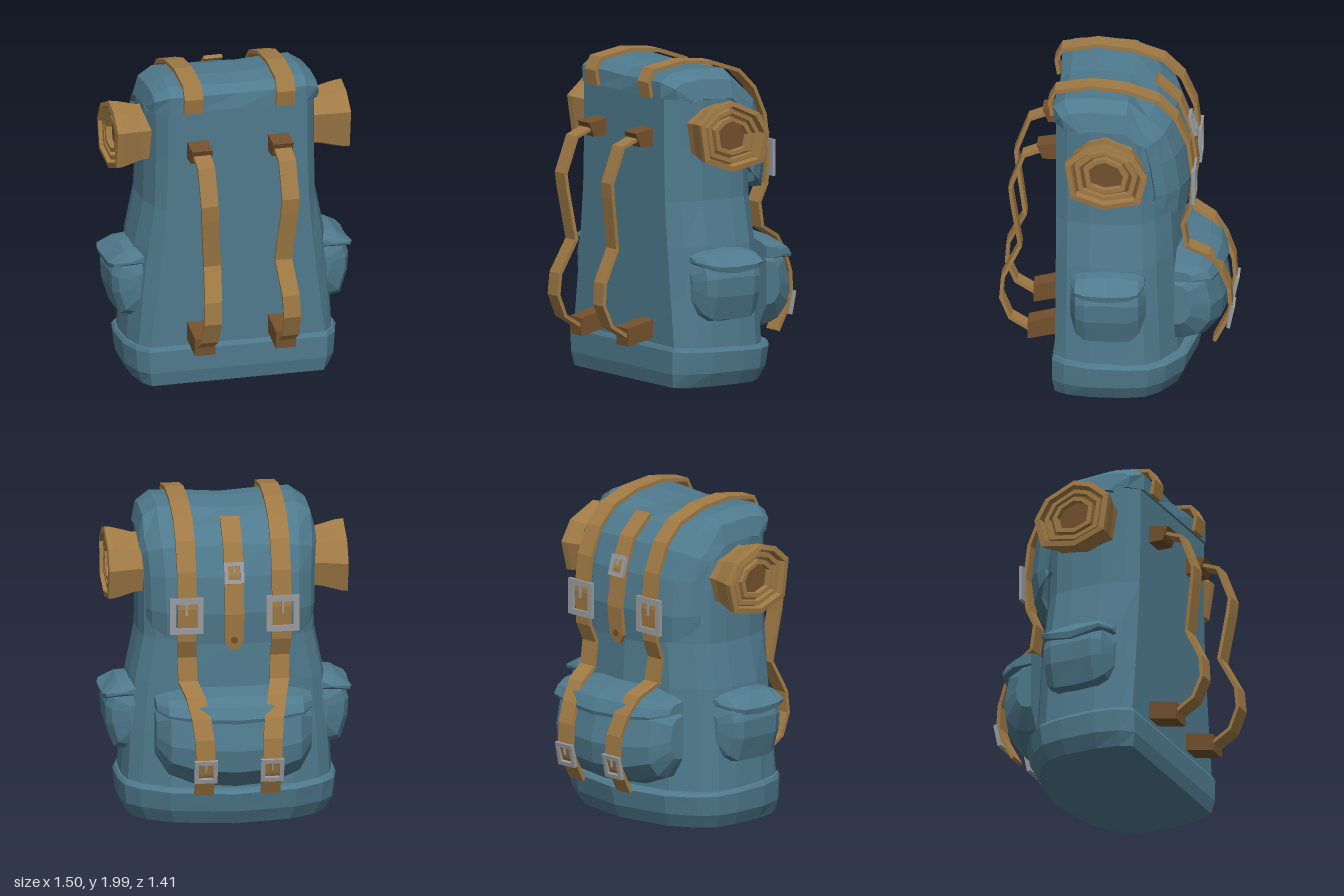
import * as THREE from 'three';

const mat = (name, color) => Object.assign(new THREE.MeshStandardMaterial({ color }), { name });

// Flat-shaded skin over rows of [x, y, z]; closed rows form tubes, caps fill the ends.
function skin(rows, { closed = true, caps = true } = {}) {
  const tris = [], n = rows[0].length;
  for (let i = 0; i < rows.length - 1; i++) {
    for (let j = 0; j < (closed ? n : n - 1); j++) {
      const k = (j + 1) % n, a = rows[i], b = rows[i + 1];
      tris.push([a[j], a[k], b[k]], [a[j], b[k], b[j]]);
    }
  }
  const mean = (pts) => [0, 1, 2].map((c) => pts.reduce((t, p) => t + p[c], 0) / pts.length);
  if (closed && caps) {
    const first = rows[0], last = rows[rows.length - 1], m0 = mean(first), m1 = mean(last);
    for (let j = 0; j < n; j++) {
      const k = (j + 1) % n;
      tris.push([first[k], first[j], m0], [last[j], last[k], m1]);
    }
  }
  // Turn all faces outward
  const mid = new THREE.Vector3(...mean(rows.flat()));
  let volume = 0;
  for (const t of tris) {
    const [a, b, c] = t.map((p) => new THREE.Vector3(...p).sub(mid));
    volume += a.dot(b.cross(c));
  }
  if (volume < 0) tris.forEach((t) => t.reverse());
  const geo = new THREE.BufferGeometry();
  geo.setAttribute('position', new THREE.Float32BufferAttribute(tris.flat(2), 3));
  geo.computeVertexNormals();
  return geo;
}

// D-shaped slice: flat front, rounded back, optionally sloping down to the back
function slice([y, wFront, w, zFront, zBack, slope = 0]) {
  const half = [[wFront, zFront], [wFront + 0.6 * (w - wFront), zFront * 0.8], [w, zFront * 0.4],
    [w, zBack * 0.15], [w * 0.96, zBack * 0.44], [w * 0.84, zBack * 0.64], [w * 0.58, zBack * 0.86]];
  return [...half, [0, zBack], ...half.map(([x, z]) => [-x, z]).reverse()]
    .map(([x, z]) => [x, y + (z - zFront) * slope, z]);
}

// Flat band following [x, y, z, widthScale] points, bending about the x axis
function band(path, width, thick = 0.023) {
  return skin(path.map((p, i) => {
    const a = path[Math.max(i - 1, 0)], b = path[Math.min(i + 1, path.length - 1)];
    const len = Math.hypot(b[1] - a[1], b[2] - a[2]);
    const ny = (-(b[2] - a[2]) / len) * thick / 2, nz = ((b[1] - a[1]) / len) * thick / 2;
    const h = (width / 2) * (p[3] ?? 1);
    return [[-h, 1], [h, 1], [h, -1], [-h, -1]].map(([dx, s]) => [p[0] + dx, p[1] + ny * s, p[2] + nz * s]);
  }));
}

// Bulging panel: a [depth, height] profile swept over columns of [u, depth scale, height scale]
function bulge(profile, columns, pivot, place) {
  return skin([-3, -2, -1, 0, 1, 2, 3].map((i) => {
    const [u, deep, tall] = columns[Math.abs(i)];
    return profile.map(([d, h]) => place(Math.sign(i) * u, pivot + (h - pivot) * tall, d * deep));
  }));
}

export function createModel() {
  const model = new THREE.Group();
  const blue = mat('blue canvas', 0x4f7a8d);
  blue.side = THREE.DoubleSide;
  const tan = mat('tan strap', 0xa07a45);
  const brown = mat('brown leather', 0x73502d);
  const metal = mat('grey metal', 0x989b9e);
  const add = (name, geo, material) => {
    const mesh = new THREE.Mesh(geo, material);
    mesh.name = name;
    model.add(mesh);
    return mesh;
  };

  // Main bag and padded base
  add('body', skin([
    [0.25, 0.545, 0.635, 0.35, -0.44], [0.6, 0.5, 0.615, 0.35, -0.415], [0.9, 0.465, 0.585, 0.35, -0.4],
    [1.17, 0.44, 0.53, 0.35, -0.385], [1.5, 0.43, 0.527, 0.35, -0.37], [1.8, 0.43, 0.527, 0.35, -0.27],
  ].map(slice)), blue);
  add('base', skin([
    [0.005, 0.3, 0.34, 0.14, -0.22], [0.055, 0.53, 0.6, 0.35, -0.43], [0.14, 0.545, 0.645, 0.368, -0.475],
    [0.275, 0.55, 0.658, 0.368, -0.5, 0.025], [0.3, 0.55, 0.645, 0.355, -0.48, 0.035],
    [0.305, 0.52, 0.61, 0.33, -0.4, 0.035],
  ].map(slice)), blue);

  // Lid: stations run front to back as [z, y, inward z, inward y, inset kind, width]
  const insets = {
    front: [0, 0, 0, 0.07, 0.16, 0.17],
    top: [0.02, 0.005, 0, 0.055, 0.17, 0.18],
    back: [0, 0.015, 0.06, 0.135, 0.2, 0.21],
  };
  const lidX = [0, 0.25, 0.42, 0.505, 0.535, 0.5];
  const lid = [
    [0.33, 1.795, -1, -0.06, 'front'], [0.368, 1.79, -1, -0.06, 'front'], [0.368, 1.89, -0.9, -0.6, 'top'],
    [0.3, 1.94, -0.5, -1, 'top'], [0.14, 1.955, 0, -1, 'top'], [-0.08, 1.94, 0.05, -1, 'top'],
    [-0.24, 1.87, 0.5, -0.8, 'back'], [-0.35, 1.76, 0.8, -0.4, 'back', 0.98], [-0.42, 1.58, 1, -0.1, 'back', 0.96],
    [-0.45, 1.36, 1, 0, 'back', 0.95], [-0.43, 1.16, 0.95, 0.7, 'back', 0.94], [-0.37, 1.19, 0.75, 0.7, 'back', 0.94],
  ].map(([z, y, nz, ny, kind, width = 1]) => [-5, -4, -3, -2, -1, 0, 1, 2, 3, 4, 5].map((i) => {
    const k = Math.abs(i), d = insets[kind][k];
    return [Math.sign(i) * lidX[k] * width, y + ny * d, z + nz * d];
  }));
  add('lid', skin(lid, { closed: false }), blue);

  // Pockets with overhanging flaps
  const backPlace = (u, h, d) => [u * 0.45, 0.29 + 0.61 * h, -0.36 - 0.31 * d];
  add('backPocket', bulge([[0, 0], [0.25, 0], [0.62, 0.05], [0.94, 0.23], [1, 0.45], [0.84, 0.78], [0.5, 0.92], [0, 0.95]],
    [[0, 1, 1], [0.5, 0.9, 0.96], [0.87, 0.7, 0.78], [1.04, 0.32, 0.45]], 0.6, backPlace), blue);
  add('backPocketFlap', bulge([[0, 0.72], [0.9, 0.72], [0.92, 0.76], [0.8, 0.88], [0.58, 0.96], [0, 1]],
    [[0, 1.04, 1], [0.5, 0.95, 0.9], [0.9, 0.78, 0.62], [1.04, 0.4, 0.4]], 0.84, backPlace), blue);

  // Buckle: square frame with a prong
  const buckle = (name, x, y, z, w, h, bar, tilt) => {
    const rect = (a, b, C) => new C([[-a, -b], [a, -b], [a, b], [-a, b]].map((p) => new THREE.Vector2(...p)));
    const frame = rect(w / 2, h / 2, THREE.Shape);
    frame.holes.push(rect(w / 2 - bar, h / 2 - bar, THREE.Path));
    const geo = new THREE.ExtrudeGeometry(frame, { depth: 0.022, bevelEnabled: false });
    const mesh = add(name, geo.translate(0, 0, -0.011), metal);
    mesh.position.set(x, y, z);
    mesh.rotation.x = tilt;
    const prong = new THREE.Mesh(new THREE.BoxGeometry(bar * 0.4, h * 0.36, 0.012), metal);
    prong.name = 'buckleProng';
    prong.position.set(0, h * 0.2, -0.008);
    mesh.add(prong);
  };

  // Eight-sided outline of the bedroll as [z, y] about its centre
  const rollShape = [[0.245, 0.085], [0.135, 0.18], [0.015, 0.215], [-0.175, 0.13],
    [-0.25, 0.005], [-0.205, -0.175], [0.015, -0.215], [0.21, -0.145]];

  for (const s of [-1, 1]) {
    const sidePlace = (u, h, d) => [s * (0.5 + 0.25 * d), 0.45 + 0.44 * h, 0.03 + 0.22 * u];
    add('sidePocket', bulge([[0, 0], [0.5, 0], [0.74, 0.03], [0.92, 0.36], [0.95, 0.62], [0.85, 0.8], [0.5, 0.93], [0, 0.93]],
      [[0, 0.97, 1], [0.6, 0.98, 0.97], [0.86, 0.85, 0.8], [1.02, 0.42, 0.42]], 0.52, sidePlace), blue);
    add('sidePocketFlap', bulge([[0, 0.68], [0.98, 0.68], [1.01, 0.77], [0.62, 0.97], [0.3, 1], [0, 1]],
      [[0, 0.98, 1], [0.6, 1, 0.78], [0.86, 0.94, 0.5], [1, 0.5, 0.25]], 0.86, sidePlace), blue);

    // Bedroll end with a rolled face
    const ring = ([x, k]) => rollShape.map(([z, y]) => [s * x, 1.575 + y * k, 0.035 + z * k]);
    const open = { caps: false };
    add('bedroll', skin([[0.48, 0.8], [0.56, 0.83], [0.68, 0.98], [0.72, 1], [0.725, 0.85], [0.66, 0.82]].map(ring), open), tan);
    add('bedrollRecess', skin([[0.6, 0.84], [0.668, 0.84]].map(ring)), brown);
    for (const k of [0.76, 0.54]) {
      add('bedrollCoil', skin([[0.65, k], [0.705, k], [0.705, k - 0.12], [0.65, k - 0.12]].map(ring), open), tan);
    }

    // Shoulder strap and its anchors
    add('shoulderStrap', band([
      [0.25, 1.545, 0.43], [0.25, 1.495, 0.555], [0.25, 1.28, 0.635], [0.245, 1.19, 0.625], [0.22, 0.88, 0.578],
      [0.24, 0.68, 0.68], [0.245, 0.55, 0.69], [0.25, 0.42, 0.635], [0.25, 0.35, 0.52],
    ].map(([x, y, z]) => [s * x, y, z]), 0.105), tan);
    const anchor = (yz) => skin([-0.063, 0.063].map((dx) => yz.map(([y, z]) => [s * 0.25 + dx, y, z])));
    add('upperAnchor', anchor([[1.6, 0.33], [1.49, 0.33], [1.49, 0.44], [1.575, 0.475]]), brown);
    add('lowerAnchor', anchor([[0.45, 0.33], [0.335, 0.33], [0.292, 0.53], [0.4, 0.53]]), brown);

    // Long closing strap over the lid and back pocket
    add('lidStrap', band([
      [0.285, 1.79, 0.38], [0.285, 1.88, 0.395], [0.285, 1.95, 0.36], [0.285, 1.985, 0.15], [0.285, 1.965, -0.06],
      [0.285, 1.9, -0.25], [0.285, 1.79, -0.36], [0.285, 1.62, -0.435], [0.285, 1.4, -0.463], [0.285, 1.2, -0.447],
      [0.28, 1.09, -0.4], [0.275, 0.94, -0.425], [0.245, 0.87, -0.55], [0.22, 0.76, -0.625], [0.205, 0.64, -0.672],
      [0.2, 0.5, -0.683], [0.2, 0.43, -0.66], [0.2, 0.285, -0.585],
    ].map(([x, y, z]) => [s * x, y, z]), 0.115), tan);
    buckle('largeBuckle', s * 0.29, 1.36, -0.468, 0.2, 0.22, 0.036, 0);
    buckle('smallBuckle', s * 0.2, 0.45, -0.683, 0.14, 0.145, 0.026, -0.2);
  }

  // Short centre strap with tapered tip, buckle and eyelet
  add('centreStrap', band([[0, 1.9, -0.225], [0, 1.775, -0.362], [0, 1.59, -0.433], [0, 1.36, -0.465],
    [0, 1.19, -0.448], [0, 1.14, -0.44, 0.45]], 0.115), tan);
  buckle('centreBuckle', 0, 1.61, -0.442, 0.12, 0.13, 0.024, 0.3);
  const eyelet = add('eyelet', new THREE.CylinderGeometry(0.022, 0.022, 0.009, 8), brown);
  eyelet.rotation.x = Math.PI / 2;
  eyelet.position.set(0, 1.2, -0.461);

  return model;
}
